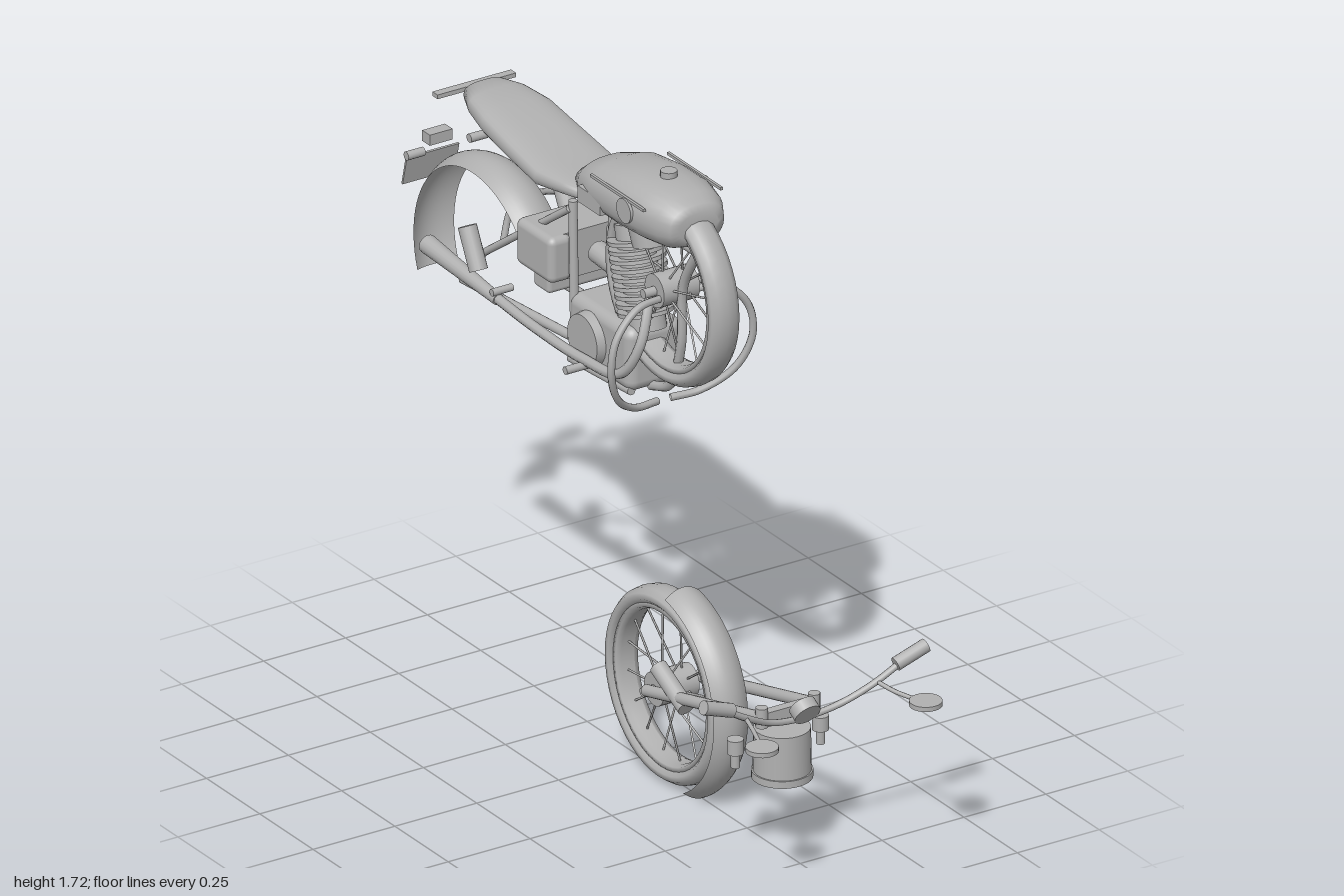
import * as THREE from 'three';
import { RoundedBoxGeometry } from 'three/addons/geometries/RoundedBoxGeometry.js';
import { ParametricGeometry } from 'three/addons/geometries/ParametricGeometry.js';

const grey = new THREE.MeshStandardMaterial({ color: 0xb0b0b0, side: THREE.DoubleSide });
grey.name = 'grey';
const V = (a) => new THREE.Vector3(...a);

export function createModel() {
  const root = new THREE.Group();
  root.name = 'motorcycleParts';

  const add = (name, geo, pos = [0, 0, 0], parent = root) => {
    const m = new THREE.Mesh(geo, grey);
    m.name = name;
    m.position.set(...pos);
    parent.add(m);
    return m;
  };
  const box = (name, size, pos, round = 0) =>
    add(name, round ? new RoundedBoxGeometry(...size, 3, round) : new THREE.BoxGeometry(...size), pos);
  // Straight cylinder or cone between two points
  const rod = (name, a, b, r, r2 = r, parent = root, sides = 16) => {
    const p = V(a), q = V(b), d = q.clone().sub(p);
    const m = add(name, new THREE.CylinderGeometry(r2, r, d.length(), sides), p.clone().add(q).multiplyScalar(0.5).toArray(), parent);
    m.quaternion.setFromUnitVectors(new THREE.Vector3(0, 1, 0), d.normalize());
    return m;
  };
  const tube = (name, pts, r) =>
    add(name, new THREE.TubeGeometry(new THREE.CatmullRomCurve3(pts.map(V)), pts.length * 8, r, 8));
  const sides = (fn) => [1, -1].forEach(fn);

  // Lofted body; each section is [z, half width, bottom, top], ordered towards +z
  const loft = (name, sections, power) => {
    const n = 28, pos = [], idx = [];
    const soft = (v) => Math.sign(v) * Math.abs(v) ** power;
    for (const [z, w, lo, hi] of sections)
      for (let j = 0; j < n; j++) {
        const t = (j / n) * Math.PI * 2;
        pos.push(w * soft(Math.cos(t)), (lo + hi) / 2 + ((hi - lo) / 2) * soft(Math.sin(t)), z);
      }
    for (let i = 0; i < sections.length - 1; i++)
      for (let j = 0; j < n; j++) {
        const a = i * n + j, b = i * n + ((j + 1) % n);
        idx.push(a, b, a + n, b, b + n, a + n);
      }
    const end = (sections.length - 1) * n;
    for (let j = 1; j < n - 1; j++) idx.push(0, j + 1, j, end, end + j, end + j + 1);
    const g = new THREE.BufferGeometry();
    g.setAttribute('position', new THREE.Float32BufferAttribute(pos, 3));
    g.setIndex(idx);
    g.computeVertexNormals();
    return add(name, g);
  };

  // Wheel with tyre, rim, hub and spokes
  const wheel = (name, y, z) => {
    const w = new THREE.Group();
    w.name = name;
    w.position.set(0, y, z);
    root.add(w);
    const ring = (part, pts) =>
      add(part, new THREE.LatheGeometry(pts.map((p) => new THREE.Vector2(...p)), 48).rotateZ(Math.PI / 2), [0, 0, 0], w);
    ring('tyre', [[0.222, -0.032], [0.235, -0.044], [0.25, -0.042], [0.262, -0.025], [0.266, 0],
      [0.262, 0.025], [0.25, 0.042], [0.235, 0.044], [0.222, 0.032], [0.222, -0.032]]);
    ring('rim', [[0.206, -0.02], [0.212, -0.034], [0.226, -0.034], [0.226, 0.034], [0.212, 0.034], [0.206, 0.02], [0.206, -0.02]]);
    rod('hub', [-0.055, 0, 0], [0.055, 0, 0], 0.046, 0.046, w, 24);
    rod('axle', [-0.09, 0, 0], [0.09, 0, 0], 0.013, 0.013, w);
    for (let i = 0; i < 16; i++) {
      const t = ((i + 0.5) / 16) * Math.PI * 2, c = Math.cos(t), s = Math.sin(t), x = i % 2 ? 0.025 : -0.025;
      rod('spoke', [x, s * 0.04, c * 0.04], [0, s * 0.21, c * 0.21], 0.003, 0.003, w, 6);
    }
  };
  wheel('rearWheel', 1.403, 0.15);
  wheel('frontWheel', 0.27, 0.147);

  // Arched mudguards; angles run from +z towards +y
  const fender = (name, y, z, R, w, from, to) => {
    const g = new ParametricGeometry((u, v, p) => {
      const t = THREE.MathUtils.degToRad(from + (to - from) * u), k = v * 2 - 1;
      const r = R - 0.025 * k * k;
      p.set(w * k, y + r * Math.sin(t), z + r * Math.cos(t));
    }, 32, 10);
    add(name, g);
  };
  fender('frontFender', 0.27, 0.147, 0.302, 0.053, -61, 80);
  fender('rearFender', 1.12, -0.69, 0.305, 0.062, 42, 201);

  // Front fork, yoke and headlamp
  sides((s) => {
    rod('forkTube', [s * 0.08, 0.415, 0.69], [s * 0.08, 0.275, 0.15], 0.016);
    rod('forkSlider', [s * 0.075, 0.295, 0.33], [s * 0.075, 0.36, 0.2], 0.024);
    rod('frontIndicator', [s * 0.13, 0.31, 0.645], [s * 0.13, 0.35, 0.645], 0.022);
    rod('frontIndicatorStem', [s * 0.13, 0.27, 0.645], [s * 0.13, 0.31, 0.645], 0.012);
    rod('yokePost', [s * 0.08, 0.39, 0.692], [s * 0.08, 0.445, 0.692], 0.016);
  });
  box('yoke', [0.18, 0.04, 0.026], [0, 0.41, 0.69]);
  rod('headlamp', [0, 0.225, 0.665], [0, 0.36, 0.665], 0.076, 0.074, root, 32);
  rod('headlampRim', [0, 0.22, 0.665], [0, 0.24, 0.665], 0.08, 0.08, root, 32);
  rod('gauge', [0, 0.44, 0.785], [0, 0.457, 0.758], 0.037, 0.037, root, 24);

  // Handlebar, grips, levers and mirrors
  tube('handlebar', [[-0.28, 0.54, 0.815], [-0.19, 0.485, 0.8], [-0.1, 0.44, 0.775], [0, 0.425, 0.765],
    [0.1, 0.44, 0.775], [0.19, 0.485, 0.8], [0.28, 0.54, 0.815]], 0.009);
  sides((s) => {
    rod('grip', [s * 0.25, 0.53, 0.813], [s * 0.34, 0.563, 0.818], 0.019);
    rod('mirror', [s * 0.25, 0.472, 0.955], [s * 0.25, 0.485, 0.955], 0.043, 0.043, root, 24);
    tube('mirrorStem', [[s * 0.2, 0.49, 0.802], [s * 0.215, 0.482, 0.86], [s * 0.24, 0.478, 0.93]], 0.006);
  });

  // Fuel tank with cap and trims
  loft('fuelTank', [[-0.21, 0.062, 1.545, 1.61], [-0.15, 0.095, 1.54, 1.655], [-0.06, 0.12, 1.54, 1.69], [0.06, 0.125, 1.54, 1.707],
    [0.16, 0.12, 1.545, 1.71], [0.23, 0.103, 1.55, 1.7], [0.265, 0.083, 1.565, 1.68], [0.276, 0.06, 1.585, 1.66]], 0.85);
  rod('tankCap', [0, 1.7, 0.133], [0, 1.725, 0.133], 0.022, 0.022, root, 20);
  sides((s) => {
    box('tankTrim', [0.008, 0.008, 0.25], [s * 0.118, 1.668, 0.075]);
    rod('tankBadge', [s * 0.119, 1.635, 0.115], [s * 0.127, 1.635, 0.115], 0.034, 0.034, root, 20);
    box('kneePad', [0.02, 0.045, 0.105], [s * 0.11, 1.592, -0.058]);
  });

  // Seat and grab bar
  loft('seat', [[-0.735, 0.062, 1.578, 1.632], [-0.67, 0.09, 1.568, 1.636], [-0.58, 0.108, 1.553, 1.63], [-0.45, 0.113, 1.532, 1.606],
    [-0.32, 0.117, 1.516, 1.583], [-0.22, 0.1, 1.528, 1.582], [-0.12, 0.085, 1.545, 1.58]], 0.7);
  box('grabBar', [0.24, 0.012, 0.024], [0, 1.6, -0.78]);

  // Engine case, covers, finned cylinder and head
  box('engineCase', [0.17, 0.18, 0.295], [0.01, 1.165, -0.085], 0.03);
  rod('engineCover', [0.06, 1.165, -0.14], [0.115, 1.165, -0.14], 0.09, 0.088, root, 32);
  rod('clutchCover', [-0.065, 1.165, -0.12], [-0.1, 1.165, -0.12], 0.075, 0.07, root, 32);
  const barrel = (t) => [0, 1.26 + 0.23 * t, 0.03 - 0.06 * t];
  rod('barrel', barrel(-0.1), barrel(1.1), 0.05);
  for (let i = 0; i < 9; i++) rod('fin', barrel(0.08 + i * 0.1), barrel(0.125 + i * 0.1), 0.074, 0.074, root, 24);
  rod('cylinderHead', [0, 1.48, 0.05], [0, 1.55, 0.03], 0.048, 0.055);
  rod('carburettor', [0, 1.35, -0.03], [0, 1.36, -0.2], 0.03);

  // Side boxes
  sides((s) => box('sideBox', [0.07, 0.13, 0.17], [s * 0.09, 1.345, -0.315], 0.02));
  box('battery', [0.15, 0.13, 0.14], [0, 1.345, -0.315]);
  box('sideBoxFoot', [0.2, 0.05, 0.075], [0, 1.255, -0.315], 0.012);

  // Frame tubes
  tube('downTube', [[0, 1.55, 0.27], [0, 1.42, 0.2], [0, 1.25, 0.19], [0, 1.12, 0.14], [0, 1.08, 0.05]], 0.013);
  rod('topTube', [0, 1.55, 0.26], [0, 1.53, -0.3], 0.016);
  sides((s) => {
    rod('seatPost', [s * 0.06, 1.51, -0.225], [s * 0.06, 1.06, -0.215], 0.012);
    rod('cradleRail', [s * 0.06, 1.08, 0.05], [s * 0.06, 1.06, -0.235], 0.012);
    rod('seatStay', [s * 0.07, 1.49, -0.225], [s * 0.1, 1.23, -0.58], 0.01);
    rod('stayLink', [s * 0.1, 1.23, -0.58], [s * 0.1, 1.115, -0.675], 0.01);
    rod('swingArm', [s * 0.08, 1.14, -0.2], [s * 0.1, 1.115, -0.68], 0.013);
    rod('footPeg', [s * 0.09, 1.11, -0.09], [s * 0.172, 1.11, -0.09], 0.011);
    rod('rearPeg', [s * 0.09, 1.175, -0.465], [s * 0.152, 1.175, -0.465], 0.01);
    rod('rearIndicator', [s * 0.07, 1.375, -0.912], [s * 0.122, 1.375, -0.912], 0.012);
    // Crash bar loop
    tube('crashBar', [[s * 0.03, 1.39, 0.17], [s * 0.13, 1.385, 0.185], [s * 0.2, 1.32, 0.195], [s * 0.216, 1.23, 0.195],
      [s * 0.18, 1.135, 0.17], [s * 0.1, 1.075, 0.13], [s * 0.02, 1.065, 0.11]], 0.01);
  });
  rod('kickStand', [0.07, 1.075, -0.2], [0.09, 1.063, -0.41], 0.009);
  rod('upperShock', [0.12, 1.445, -0.592], [0.12, 1.325, -0.525], 0.025);
  rod('lowerShock', [-0.13, 1.3, -0.613], [-0.13, 1.195, -0.56], 0.025);

  // Exhaust on one side, guard rail on the other
  tube('exhaustPipe', [[0, 1.39, 0.06], [-0.04, 1.34, 0.1], [-0.08, 1.24, 0.12], [-0.105, 1.15, 0.07],
    [-0.112, 1.125, -0.1], [-0.125, 1.135, -0.3], [-0.135, 1.155, -0.47]], 0.014);
  rod('muffler', [-0.135, 1.153, -0.46], [-0.14, 1.182, -0.785], 0.016, 0.026);
  tube('guardRail', [[0.11, 1.335, -0.46], [0.145, 1.33, -0.59], [0.16, 1.27, -0.73], [0.158, 1.21, -0.82],
    [0.15, 1.17, -0.845], [0.13, 1.09, -0.845]], 0.009);

  // Tail lamp and number plate
  box('tailLamp', [0.07, 0.03, 0.036], [0, 1.387, -0.953]);
  box('numberPlate', [0.16, 0.085, 0.006], [0, 1.293, -0.986]).rotation.x = 0.24;

  return root;
}
